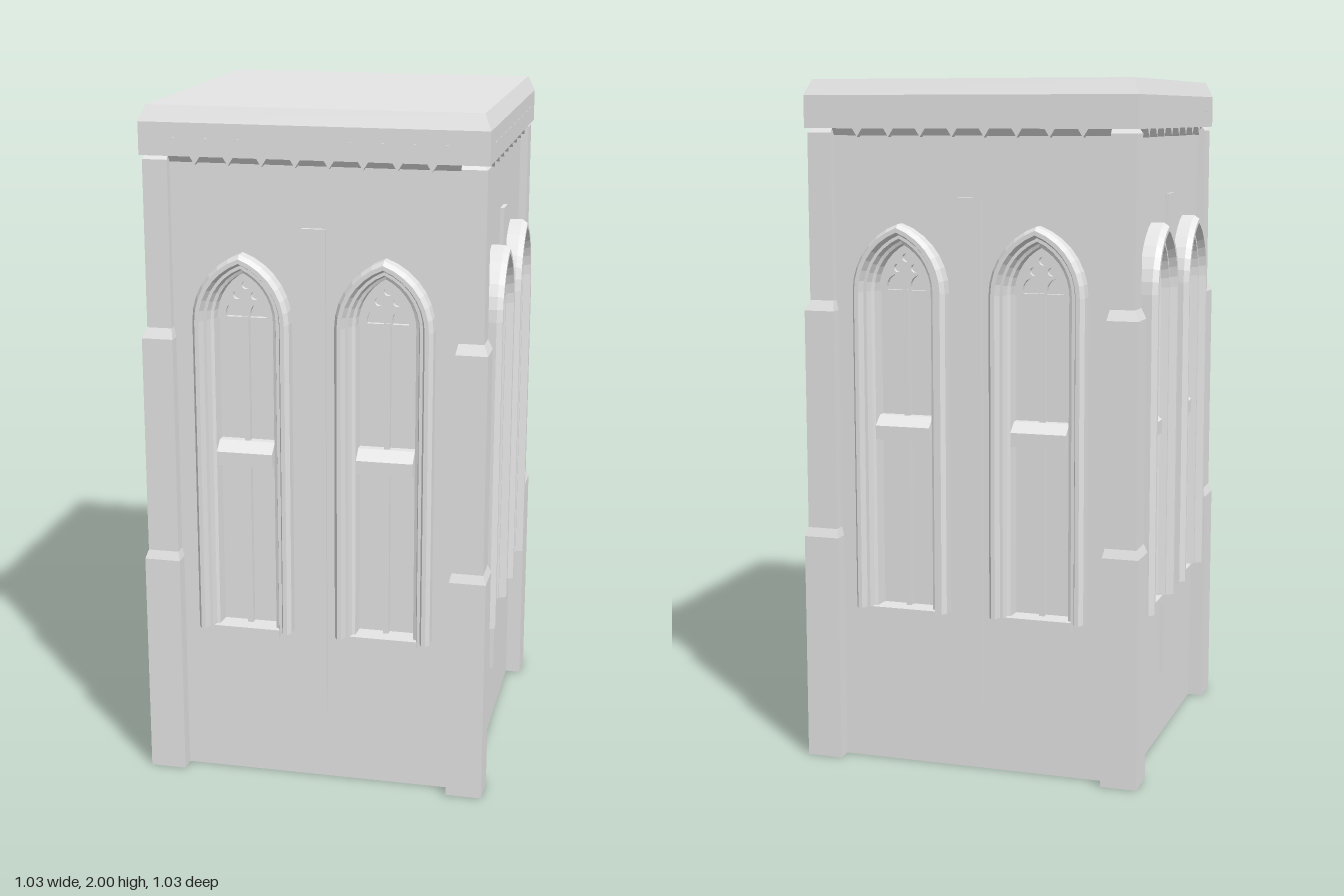
import * as THREE from 'three';

const stone = new THREE.MeshStandardMaterial({ color: 0xe5e5e5 });
stone.name = 'pale stone';

const SILL = 0.47, SPRING = 1.4, OFF = 0.066, STEPS = 7;
const WALL = 0.46, GLASS = 0.42;

const points = list => list.map(([x, y]) => new THREE.Vector2(x, y));

function add(parent, geometry, name) {
  const m = new THREE.Mesh(geometry, stone);
  m.name = name;
  parent.add(m);
}

function box(parent, name, x0, x1, y0, y1, z0, z1) {
  const g = new THREE.BoxGeometry(x1 - x0, y1 - y0, z1 - z0);
  add(parent, g.translate((x0 + x1) / 2, (y0 + y1) / 2, (z0 + z1) / 2), name);
}

// square block between y0 and y1; [inner, outer] limits in x and z at bottom and top
function taper(parent, name, y0, y1, [a0, b0], [a1, b1]) {
  const g = new THREE.BoxGeometry(1, 1, 1);
  const p = g.attributes.position;
  for (let i = 0; i < p.count; i++) {
    const top = p.getY(i) > 0;
    const a = top ? a1 : a0, b = top ? b1 : b0;
    p.setXYZ(i, p.getX(i) > 0 ? b : a, top ? y1 : y0, p.getZ(i) > 0 ? b : a);
  }
  g.computeVertexNormals();
  add(parent, g, name);
}

// pointed arch outline of half width w, from the right foot over the apex to the left foot
function archPoints(w, base = SILL, spring = SPRING, off = OFF, steps = STEPS) {
  const r = w + off, end = Math.acos(off / r);
  const right = [new THREE.Vector2(w, base)];
  for (let i = 0; i <= steps; i++) {
    const a = end * i / steps;
    right.push(new THREE.Vector2(-off + r * Math.cos(a), spring + r * Math.sin(a)));
  }
  const left = right.slice(0, -1).reverse().map(p => new THREE.Vector2(-p.x, p.y));
  return right.concat(left);
}

const shifted = (list, x) => list.map(p => new THREE.Vector2(p.x + x, p.y));

// closed moulding profile [half width, depth] swept around the pointed arch
function archMoulding(profile) {
  const rails = profile.map(([w, z]) => archPoints(w).map(p => [p.x, p.y, z]));
  const n = profile.length, m = rails[0].length, pos = [];
  const tri = (a, b, c) => pos.push(...a, ...b, ...c);
  for (let i = 0; i < n; i++) {
    const A = rails[i], B = rails[(i + 1) % n];
    for (let j = 0; j < m - 1; j++) {
      tri(A[j], A[j + 1], B[j + 1]);
      tri(A[j], B[j + 1], B[j]);
    }
  }
  // both feet face downwards
  for (const corners of THREE.ShapeUtils.triangulateShape(points(profile), [])) {
    for (const j of [0, m - 1]) {
      const [p, q, r] = corners.map(c => rails[c][j]);
      const ny = (q[2] - p[2]) * (r[0] - p[0]) - (q[0] - p[0]) * (r[2] - p[2]);
      if (ny > 0) tri(p, r, q);
      else tri(p, q, r);
    }
  }
  const g = new THREE.BufferGeometry();
  g.setAttribute('position', new THREE.Float32BufferAttribute(pos, 3));
  g.computeVertexNormals();
  return g;
}

function extrude(shape, z0, z1) {
  const g = new THREE.ExtrudeGeometry(shape, { depth: z1 - z0, bevelEnabled: false, curveSegments: 8 });
  return g.translate(0, 0, z0);
}

function makeWindow() {
  const w = new THREE.Group();
  w.name = 'lancetWindow';
  // stepped and splayed surround
  add(w, archMoulding([
    [0.14, 0.45], [0.14, 0.498], [0.13, 0.514], [0.118, 0.514], [0.11, 0.492],
    [0.101, 0.492], [0.095, 0.47], [0.086, 0.466], [0.082, 0.415],
  ]), 'archSurround');

  // tracery plate in the arch head
  const plate = new THREE.Shape(archPoints(0.084, SPRING - 0.005));
  for (const s of [-1, 1]) {
    plate.holes.push(new THREE.Path(shifted(archPoints(0.024, 1.402, 1.412, 0.012, 4), s * 0.036)));
    const eye = new THREE.Path();
    eye.absarc(s * 0.026, 1.465, 0.012, 0, Math.PI * 2, true);
    plate.holes.push(eye);
  }
  const topEye = new THREE.Path();
  topEye.absarc(0, 1.495, 0.012, 0, Math.PI * 2, true);
  plate.holes.push(topEye);
  add(w, extrude(plate, GLASS - 0.005, 0.435), 'tracery');

  // mullion, transom with a sloping top, and sill
  box(w, 'mullion', -0.008, 0.008, SILL, 1.405, 0.41, 0.44);
  const bar = new THREE.Shape(points([[0.41, 0.97], [0.48, 0.97], [0.48, 1.01], [0.445, 1.037], [0.41, 1.037]]));
  add(w, extrude(bar, -0.082, 0.082).rotateY(-Math.PI / 2), 'transom');
  box(w, 'sill', -0.098, 0.098, 0.445, SILL, 0.41, 0.485);
  return w;
}

function makeSide() {
  const side = new THREE.Group();
  // wall panel with two window openings
  const wall = new THREE.Shape(points([[-0.44, 0], [0.44, 0], [0.44, 1.862], [-0.44, 1.862]]));
  for (const x of [-0.205, 0.205]) {
    wall.holes.push(new THREE.Path(shifted(archPoints(0.09), x)));
    const win = makeWindow();
    win.position.x = x;
    side.add(win);
  }
  add(side, extrude(wall, 0.41, WALL), 'wallPanel');
  box(side, 'centreStrip', -0.034, 0.034, 0.205, 1.67, 0.45, 0.472);

  // small wedges below the parapet
  for (let i = 0; i < 8; i++) {
    const x = (i - 3.5) * 0.095;
    const wedge = new THREE.Shape(points([[x - 0.015, 1.862], [x, 1.838], [x + 0.015, 1.862]]));
    add(side, extrude(wedge, 0.45, 0.482), 'corniceWedge');
  }
  // dashes along the parapet face
  for (let i = 0; i < 9; i++) {
    const x = (i - 4) * 0.095;
    box(side, 'parapetDash', x - 0.017, x + 0.017, 1.909, 1.914, 0.485, 0.4925);
  }

  // stepped corner pier
  const pier = new THREE.Group();
  pier.name = 'cornerPier';
  taper(pier, 'pierBase', 0, 0.672, [0.4, 0.506], [0.4, 0.506]);
  taper(pier, 'pierLowerSlope', 0.672, 0.698, [0.4, 0.506], [0.406, 0.497]);
  taper(pier, 'pierMiddle', 0.698, 1.34, [0.406, 0.497], [0.406, 0.497]);
  taper(pier, 'pierUpperSlope', 1.34, 1.37, [0.406, 0.497], [0.412, 0.484]);
  taper(pier, 'pierTop', 1.37, 1.85, [0.412, 0.484], [0.412, 0.484]);
  taper(pier, 'pierNeck', 1.85, 1.863, [0.412, 0.484], [0.412, 0.474]);
  side.add(pier);
  return side;
}

export function createModel() {
  const tower = new THREE.Group();
  tower.name = 'tower';
  // core closes the window openings
  box(tower, 'core', -GLASS, GLASS, 0.002, 1.87, -GLASS, GLASS);
  ['front', 'left', 'back', 'right'].forEach((name, i) => {
    const side = makeSide();
    side.name = name + 'Side';
    side.rotation.y = i * Math.PI / 2;
    tower.add(side);
  });
  // cornice and parapet with sloping cap
  taper(tower, 'cornice', 1.835, 1.862, [-0.455, 0.455], [-0.474, 0.474]);
  taper(tower, 'parapet', 1.862, 1.955, [-0.491, 0.491], [-0.491, 0.491]);
  taper(tower, 'parapetCap', 1.955, 2, [-0.491, 0.491], [-0.472, 0.472]);
  return tower;
}
